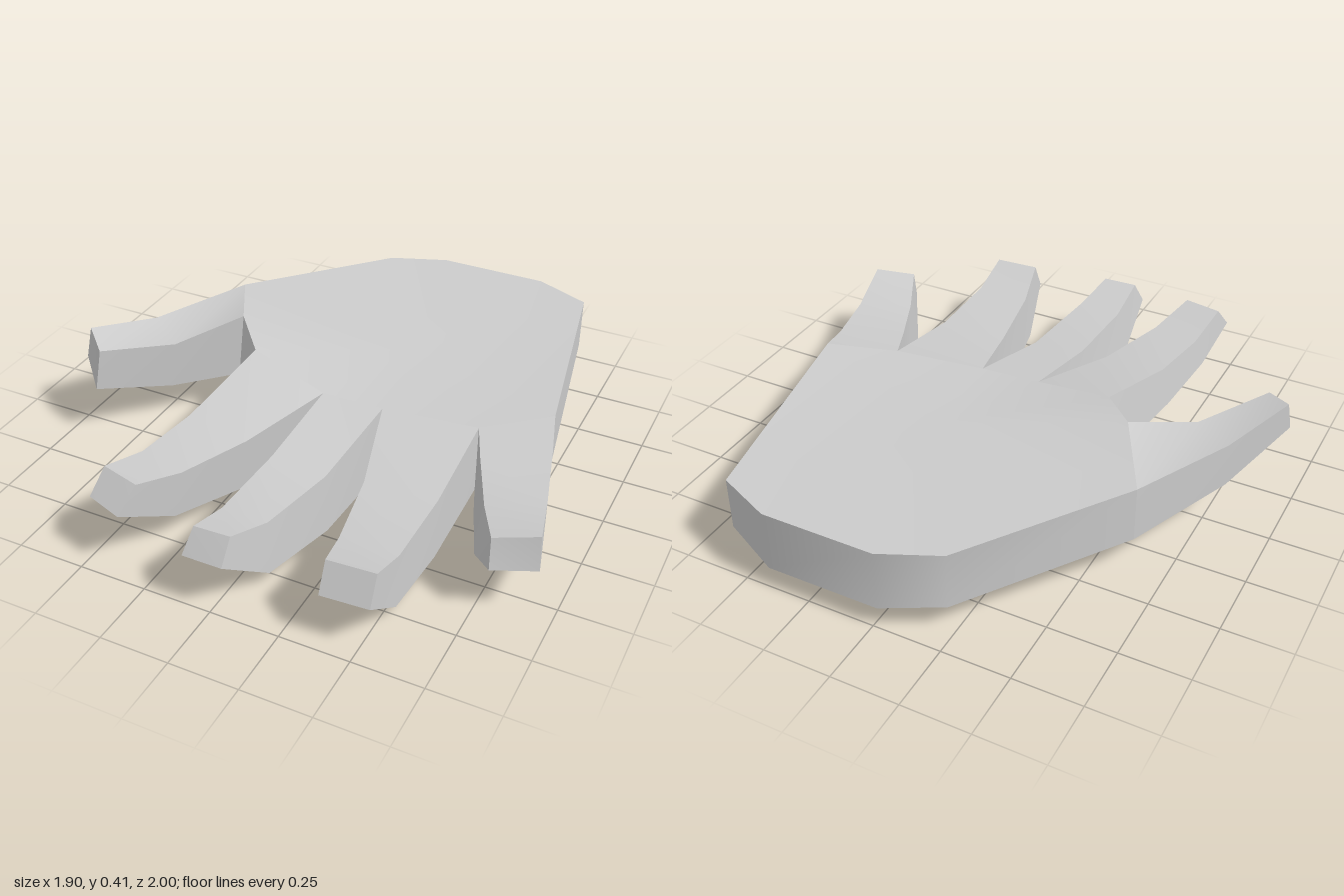
import * as THREE from 'three';
import { toCreasedNormals } from 'three/addons/utils/BufferGeometryUtils.js';

// Palm outline, clockwise from above: x, z of the upper edge, its y, then x, z, y of the lower edge
const rim = [
  [-0.02, -1.0, 0.32, -0.02, -1.0, 0.09],
  [0.4, -1.0, 0.32, 0.4, -1.0, 0.09],
  [0.61, -0.91, 0.32, 0.61, -0.91, 0.12],
  [0.77, -0.07, 0.34, 0.77, -0.07, 0.1],
  [0.54, 0.06, 0.3, 0.54, 0.06, 0.03],
  [0.19, 0.1, 0.3, 0.19, 0.1, 0.03],
  [-0.04, 0.11, 0.305, -0.05, 0.11, 0.05],
  [-0.35, 0.05, 0.37, -0.39, 0.05, 0.13],
  [-0.485, -0.1, 0.4, -0.51, -0.09, 0.14],
  [-0.64, -0.38, 0.36, -0.64, -0.38, 0.15],
  [-0.23, -0.91, 0.325, -0.23, -0.91, 0.11],
];
const top = rim.map(([x, z, y]) => [x, y, z]);
const low = rim.map(([, , , x, z, y]) => [x, y, z]);

// Each finger: rim points of its root, then sections of
// upper -x, upper +x, lower +x, lower -x corners as [x, y, z]
const fingers = {
  thumb: { root: [9, 8], sections: [
    [[-0.82, 0.355, -0.01], [-0.67, 0.335, 0.1], [-0.69, 0.15, 0.11], [-0.82, 0.18, 0.0]],
    [[-0.945, 0.41, 0.24], [-0.85, 0.38, 0.325], [-0.87, 0.22, 0.345], [-0.955, 0.3, 0.265]],
  ] },
  indexFinger: { root: [7, 6], sections: [
    [[-0.41, 0.29, 0.42], [-0.17, 0.265, 0.44], [-0.19, 0.06, 0.45], [-0.435, 0.13, 0.44]],
    [[-0.445, 0.285, 0.67], [-0.265, 0.28, 0.71], [-0.285, 0.11, 0.74], [-0.47, 0.17, 0.71]],
    [[-0.47, 0.335, 0.85], [-0.325, 0.33, 0.885], [-0.355, 0.24, 0.96], [-0.49, 0.25, 0.92]],
  ] },
  middleFinger: { root: [6, 5], sections: [
    [[-0.06, 0.25, 0.46], [0.145, 0.23, 0.46], [0.155, 0.005, 0.47], [-0.09, 0.02, 0.46]],
    [[-0.07, 0.25, 0.78], [0.1, 0.25, 0.78], [0.11, 0.055, 0.8], [-0.1, 0.055, 0.8]],
    [[-0.07, 0.3, 0.95], [0.06, 0.3, 0.945], [0.055, 0.21, 1.0], [-0.09, 0.21, 1.0]],
  ] },
  ringFinger: { root: [5, 4], sections: [
    [[0.275, 0.23, 0.43], [0.54, 0.235, 0.42], [0.545, 0.01, 0.44], [0.26, 0.01, 0.43]],
    [[0.33, 0.235, 0.73], [0.54, 0.24, 0.73], [0.545, 0.05, 0.76], [0.32, 0.05, 0.76]],
    [[0.37, 0.295, 0.905], [0.54, 0.295, 0.895], [0.54, 0.19, 0.945], [0.37, 0.19, 0.955]],
  ] },
  littleFinger: { root: [4, 3], sections: [
    [[0.6, 0.285, 0.2], [0.815, 0.3, 0.08], [0.815, 0.095, 0.09], [0.59, 0.045, 0.2]],
    [[0.7, 0.27, 0.42], [0.88, 0.28, 0.32], [0.88, 0.12, 0.34], [0.685, 0.075, 0.44]],
    [[0.79, 0.305, 0.6], [0.935, 0.32, 0.545], [0.945, 0.2, 0.565], [0.8, 0.2, 0.63]],
  ] },
};

const quad = (out, a, b, c, d) => out.push(...a, ...b, ...c, ...a, ...c, ...d);

function makeMesh(name, points, material) {
  const geometry = new THREE.BufferGeometry();
  geometry.setAttribute('position', new THREE.Float32BufferAttribute(points, 3));
  const mesh = new THREE.Mesh(toCreasedNormals(geometry, 0.65), material);
  mesh.name = name;
  return mesh;
}

// Upper and lower faces fan out from a centre; walls close the edges without fingers
function palmPoints() {
  const out = [];
  const walls = [0, 1, 2, 7, 9, 10];
  const upperCentre = [0.15, 0.315, -0.3];
  const lowerCentre = [0.15, 0.055, -0.3];
  rim.forEach((_, i) => {
    const j = (i + 1) % rim.length;
    out.push(...upperCentre, ...top[j], ...top[i]);
    out.push(...lowerCentre, ...low[i], ...low[j]);
    if (walls.includes(i)) quad(out, top[i], top[j], low[j], low[i]);
  });
  return out;
}

// Four-sided loft from the palm edge to a capped fingertip
function fingerPoints({ root: [l, r], sections }) {
  const out = [];
  const rings = [[top[l], top[r], low[r], low[l]], ...sections];
  for (let s = 0; s < rings.length - 1; s++) {
    for (let k = 0; k < 4; k++) {
      const n = (k + 1) % 4;
      quad(out, rings[s][k], rings[s + 1][k], rings[s + 1][n], rings[s][n]);
    }
  }
  const [a, b, c, d] = rings[rings.length - 1];
  quad(out, a, d, c, b);
  return out;
}

export function createModel() {
  const hand = new THREE.Group();
  hand.name = 'openHand';
  const material = new THREE.MeshStandardMaterial({ color: 0xcccccc });
  hand.add(makeMesh('palm', palmPoints(), material));
  for (const [name, finger] of Object.entries(fingers)) {
    hand.add(makeMesh(name, fingerPoints(finger), material));
  }
  return hand;
}
